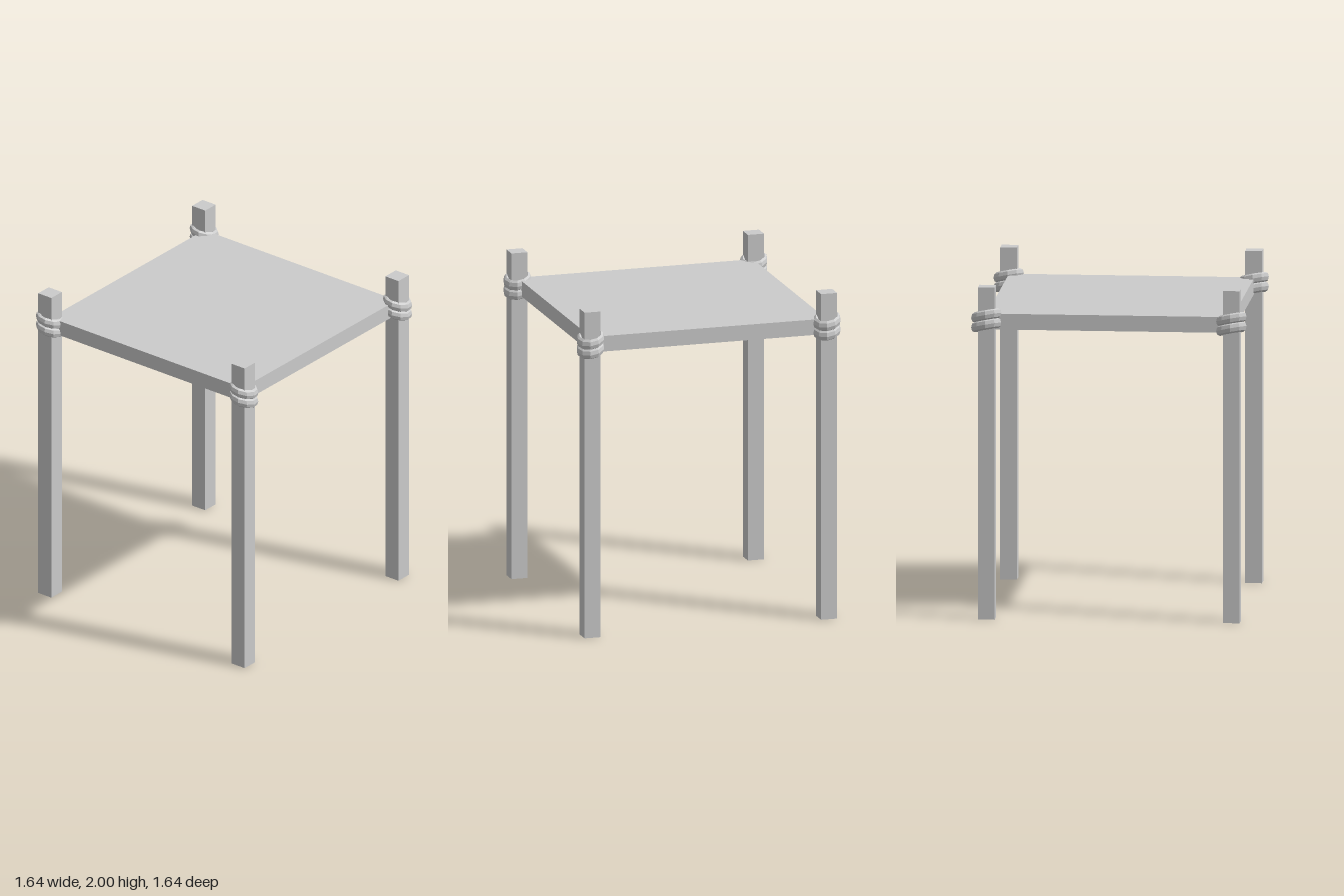
import * as THREE from 'three';

export function createModel() {
  const model = new THREE.Group();
  const mat = new THREE.MeshStandardMaterial({ color: 0xcccccc, flatShading: true });

  const add = (name, geometry, x, y, z, parent = model) => {
    const mesh = new THREE.Mesh(geometry, mat);
    mesh.name = name;
    mesh.position.set(x, y, z);
    parent.add(mesh);
    return mesh;
  };

  // flat square board
  add('tableTop', new THREE.BoxGeometry(1.465, 0.095, 1.465), 0, 1.787, 0);

  // one turn of rope: oval ring with a tall section, sheared so it slopes
  const ropeGeo = new THREE.TorusGeometry(0.068, 0.018, 8, 10);
  ropeGeo.rotateX(Math.PI / 2);
  ropeGeo.scale(0.97, 1.7, 1.08);
  const p = ropeGeo.attributes.position;
  for (let i = 0; i < p.count; i++) {
    p.setY(i, p.getY(i) - 0.19 * p.getX(i) + 0.19 * p.getZ(i));
  }
  ropeGeo.computeVertexNormals();

  // four corner posts, each lashed with two turns of rope
  const legGeo = new THREE.BoxGeometry(0.1, 2, 0.1);
  for (const [zName, sz] of [['front', 1], ['back', -1]]) {
    for (const [xName, sx] of [['Left', 1], ['Right', -1]]) {
      const x = sx * 0.736;
      const z = sz * 0.731;
      add(`${zName}${xName}Leg`, legGeo, x, 1, z);
      const lashing = new THREE.Group();
      lashing.name = `${zName}${xName}Lashing`;
      lashing.position.set(x, 1.795, z - 0.004);
      for (const dy of [0.029, -0.029]) add('ropeTurn', ropeGeo, 0, dy, 0, lashing);
      model.add(lashing);
    }
  }
  return model;
}
